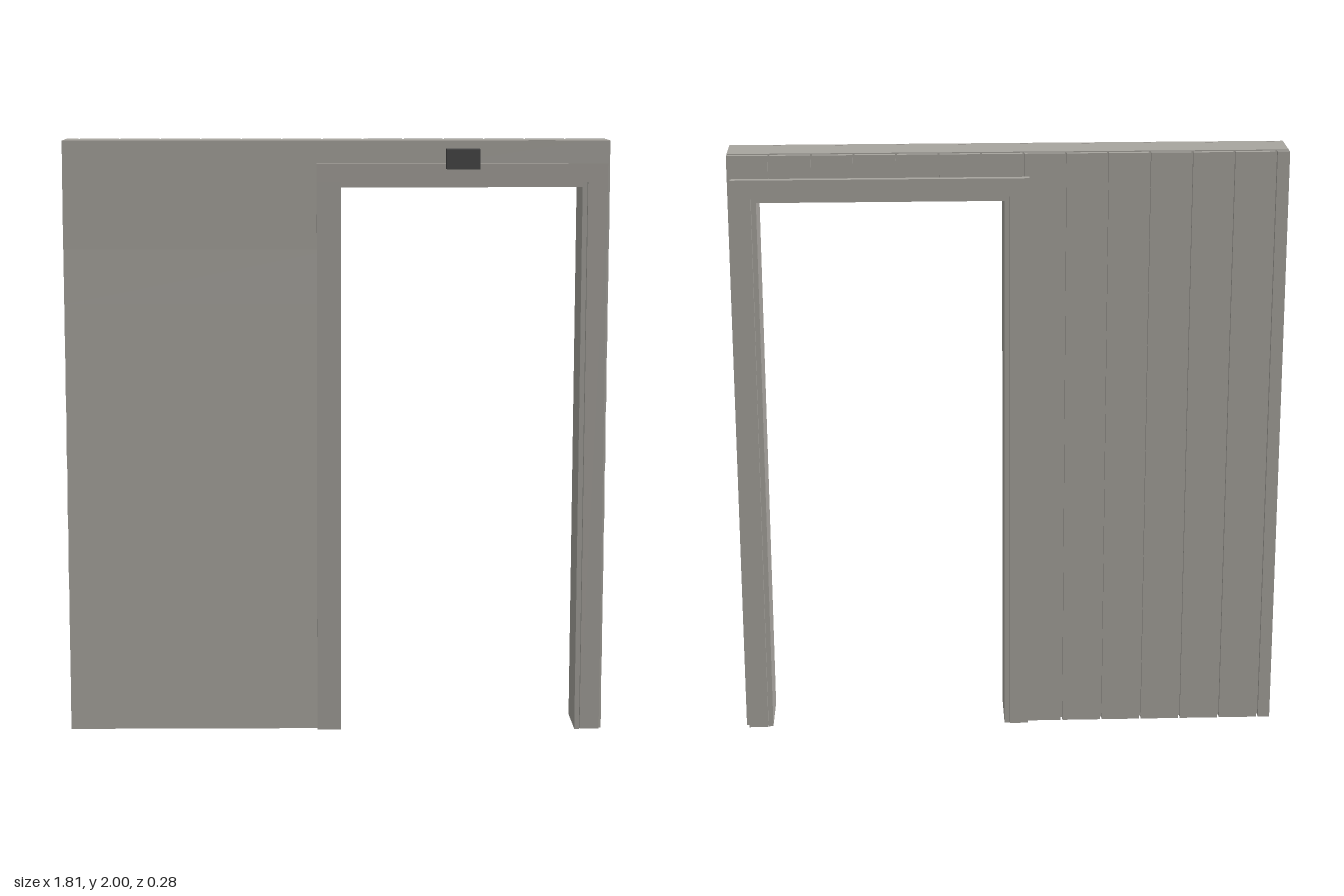
import * as THREE from 'three';

const W = 0.905;                       // half width of the wall
const OPEN = [0, 0.83, 1.865];         // rough opening: left x, right x, top y

export function createModel() {
  const model = new THREE.Group();
  model.name = 'wallWithDoorway';
  const wallGrey = new THREE.MeshStandardMaterial({ color: 0xa8a59f });
  wallGrey.name = 'wall grey';
  const lampGrey = new THREE.MeshStandardMaterial({ color: 0x484848 });
  lampGrey.name = 'dark grey';

  const group = (name) => {
    const g = new THREE.Group();
    g.name = name;
    model.add(g);
    return g;
  };
  // Box given by its limits on each axis
  const block = (parent, name, x0, x1, y0, y1, z0, z1, mat = wallGrey) => {
    const geo = new THREE.BoxGeometry(x1 - x0, y1 - y0, z1 - z0);
    geo.translate((x0 + x1) / 2, (y0 + y1) / 2, (z0 + z1) / 2);
    const mesh = new THREE.Mesh(geo, mat);
    mesh.name = name;
    parent.add(mesh);
    return mesh;
  };

  // Wall core around the opening; the wide side is hollow underneath
  const core = group('wallCore');
  const wide = block(core, 'wideCore', -W, OPEN[0], 0, 2, -0.088, 0.033);
  const index = Array.from(wide.geometry.index.array);
  index.splice(18, 6);
  wide.geometry.setIndex(index);
  wide.geometry.clearGroups();
  block(core, 'postCore', OPEN[1], W, 0, 2, -0.088, 0.033);
  block(core, 'headerCore', OPEN[0], OPEN[1], OPEN[2], 2, -0.088, 0.033);

  // Lapped front siding: each plank leans back towards its top
  const siding = group('frontSiding');
  const plank = (x0, x1, y0, y1, base, top) => {
    const mesh = block(siding, 'sidingPlank', x0, x1, y0, y1, 0.046, 0.06);
    const pos = mesh.geometry.attributes.position;
    for (let i = 0; i < pos.count; i++) {
      const t = (pos.getY(i) - base) / (top - base);
      pos.setZ(i, pos.getZ(i) - 0.012 * t);
    }
    mesh.geometry.computeVertexNormals();
  };
  const step = 0.182;
  for (let i = 0; i < 10; i++) {
    const y0 = i * step + 0.004;
    const y1 = i === 9 ? 2 : y0 + step;
    plank(-W, OPEN[0], y0, y1, y0, y1);
    plank(OPEN[1], W, y0, y1, y0, y1);
    if (i === 9) plank(OPEN[0], OPEN[1], OPEN[2], y1, y0, y1);
  }

  // Upright back boards with narrow joints, cut around the opening
  const boards = group('backBoards');
  const cuts = [-W];
  for (let k = -7; k <= 5; k++) cuts.push(0.09 + 0.136 * k);
  cuts.push(W);
  for (let i = 0; i + 1 < cuts.length; i++) {
    const a = cuts[i] + (i ? 0.003 : 0);
    const b = cuts[i + 1] - (i + 2 < cuts.length ? 0.003 : 0);
    const spans = [
      [a, Math.min(b, OPEN[0]), 0.004],
      [Math.max(a, OPEN[0]), Math.min(b, OPEN[1]), OPEN[2]],
      [Math.max(a, OPEN[1]), b, 0.004],
    ];
    for (const [x0, x1, y0] of spans) {
      if (x1 - x0 > 0.001) block(boards, 'backBoard', x0, x1, y0, 2, -0.12, -0.104);
    }
  }

  // Thin lining inside the doorway
  const lining = group('doorLining');
  block(lining, 'liningJamb', 0, 0.016, 0, 1.865, -0.124, 0.064);
  block(lining, 'liningJamb', 0.814, 0.83, 0, 1.865, -0.124, 0.064);
  block(lining, 'liningHead', 0.016, 0.814, 1.847, 1.865, -0.124, 0.064);

  // Flat casing around the doorway on both faces
  for (const [name, z0, z1] of [['frontTrim', 0.06, 0.083], ['backTrim', -0.142, -0.12]]) {
    const trim = group(name);
    block(trim, 'trimSide', -0.065, 0, 0.006, 1.865, z0, z1);
    block(trim, 'trimSide', 0.83, 0.895, 0.006, 1.865, z0, z1);
    block(trim, 'trimHead', -0.065, 0.895, 1.865, 1.925, z0, z1);
  }

  // Small dark box over the doorway
  block(model, 'lampBox', 0.36, 0.47, 1.91, 1.975, 0.084, 0.142, lampGrey);

  return model;
}
